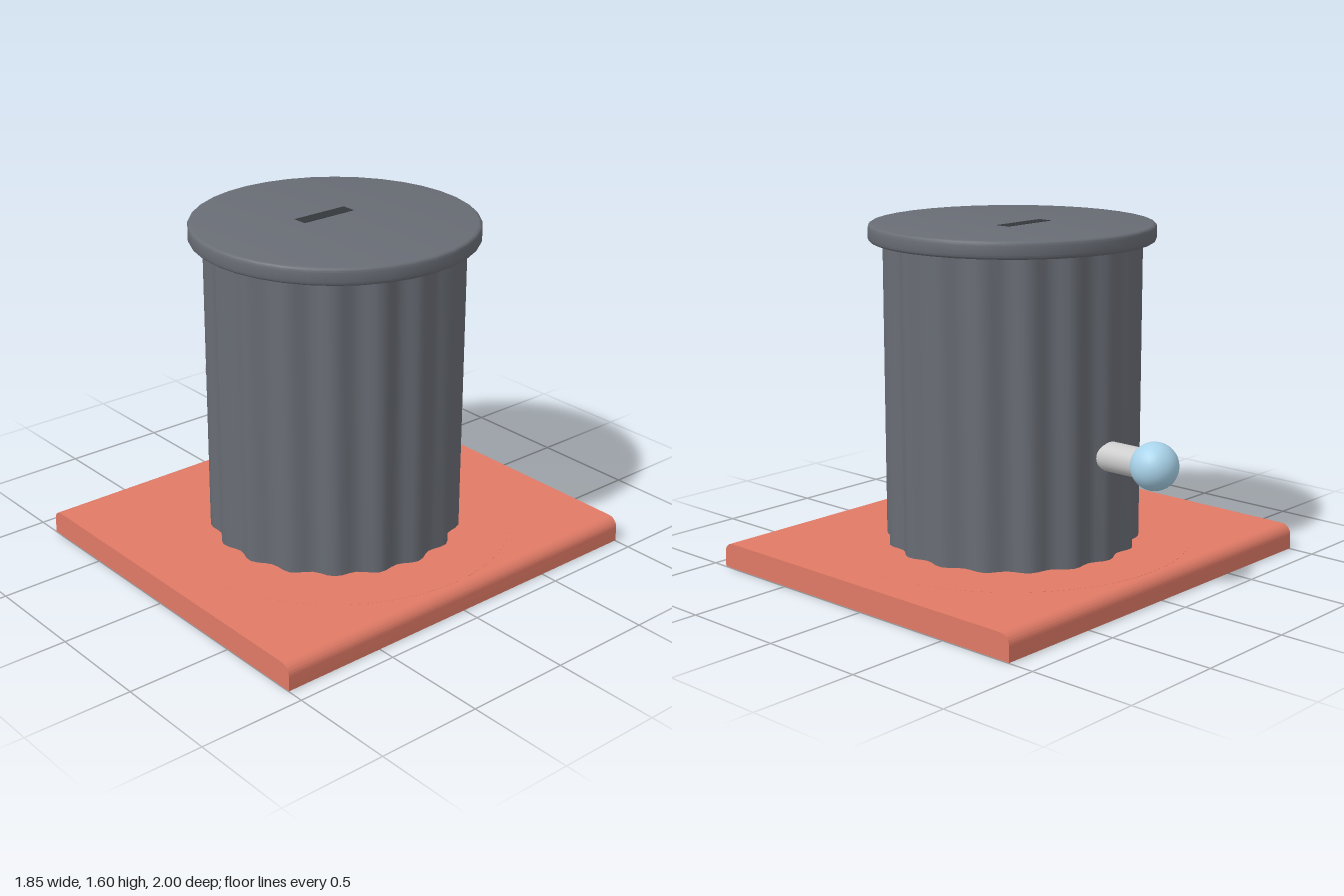
import * as THREE from 'three';
import { toCreasedNormals } from 'three/addons/utils/BufferGeometryUtils.js';

const CX = 0.0225; // shared axis of base, body and lid

function mat(color) {
  return new THREE.MeshStandardMaterial({ color });
}

function add(group, name, geometry, material, x = 0, y = 0, z = 0) {
  const mesh = new THREE.Mesh(geometry, material);
  mesh.name = name;
  mesh.position.set(x, y, z);
  group.add(mesh);
  return mesh;
}

// Slab whose two long upper edges are rounded
function baseGeometry(halfWidth, height, depth, r) {
  const s = new THREE.Shape();
  s.moveTo(-halfWidth, 0);
  s.lineTo(halfWidth, 0);
  s.lineTo(halfWidth, height - r);
  s.absarc(halfWidth - r, height - r, r, 0, Math.PI / 2, false);
  s.absarc(-halfWidth + r, height - r, r, Math.PI / 2, Math.PI, false);
  s.closePath();
  const g = new THREE.ExtrudeGeometry(s, { depth, bevelEnabled: false, curveSegments: 8 });
  g.translate(0, 0, -depth / 2);
  return toCreasedNormals(g, 0.6);
}

// Upright column with a gently waved outline
function flutedGeometry(outer, inner, flutes, height) {
  const points = [];
  const n = flutes * 6;
  for (let i = 0; i < n; i++) {
    const a = (i / n) * Math.PI * 2;
    const r = (outer + inner) / 2 + ((outer - inner) / 2) * Math.cos(a * flutes);
    points.push(new THREE.Vector2(r * Math.cos(a), r * Math.sin(a)));
  }
  const g = new THREE.ExtrudeGeometry(new THREE.Shape(points), { depth: height, bevelEnabled: false });
  g.rotateX(-Math.PI / 2);
  return toCreasedNormals(g, 0.6);
}

// Disc with softened rims
function lidGeometry(radius, height, r) {
  const profile = [new THREE.Vector2(0, 0)];
  for (let i = 0; i <= 4; i++) {
    const a = -Math.PI / 2 + (i / 4) * (Math.PI / 2);
    profile.push(new THREE.Vector2(radius - r + r * Math.cos(a), r + r * Math.sin(a)));
  }
  for (let i = 0; i <= 4; i++) {
    const a = (i / 4) * (Math.PI / 2);
    profile.push(new THREE.Vector2(radius - r + r * Math.cos(a), height - r + r * Math.sin(a)));
  }
  profile.push(new THREE.Vector2(0, height));
  return toCreasedNormals(new THREE.LatheGeometry(profile, 36), 0.45);
}

export function createModel() {
  const model = new THREE.Group();
  model.name = 'coinBank';
  const coral = mat(0xe07a66);
  const grey = mat(0x686c74);
  const dark = mat(0x35383b);
  const yellow = mat(0xc9b03c);
  const metal = mat(0xcccccc);
  const blue = mat(0xa9d3ea);

  // Base slab with a barely raised round pad
  add(model, 'base', baseGeometry(0.8975, 0.118, 2, 0.05), coral, CX, 0.002);
  add(model, 'basePad', new THREE.CylinderGeometry(0.84, 0.84, 0.02, 48), coral, CX, 0.1105);

  // Discs set into the underside
  add(model, 'bottomPlug', new THREE.CylinderGeometry(0.635, 0.635, 0.04, 36), grey, CX, 0.021);
  add(model, 'plugCore', new THREE.CylinderGeometry(0.27, 0.27, 0.03, 36), yellow, CX, 0.015);

  // Fluted body and lid
  add(model, 'body', flutedGeometry(0.594, 0.562, 18, 1.43), grey, CX, 0.1);
  add(model, 'lid', lidGeometry(0.657, 0.08, 0.018), grey, CX, 1.52);
  add(model, 'coinSlot', new THREE.BoxGeometry(0.07, 0.04, 0.285), dark, -0.05, 1.5815, 0);

  // Side knob
  const knob = new THREE.Group();
  knob.name = 'knob';
  knob.position.y = 0.603;
  const stem = add(knob, 'knobStem', new THREE.CylinderGeometry(0.068, 0.068, 0.27, 32), metal, -0.655);
  stem.rotation.z = Math.PI / 2;
  add(knob, 'knobBall', new THREE.SphereGeometry(0.108, 32, 20), blue, -0.817);
  model.add(knob);

  return model;
}
